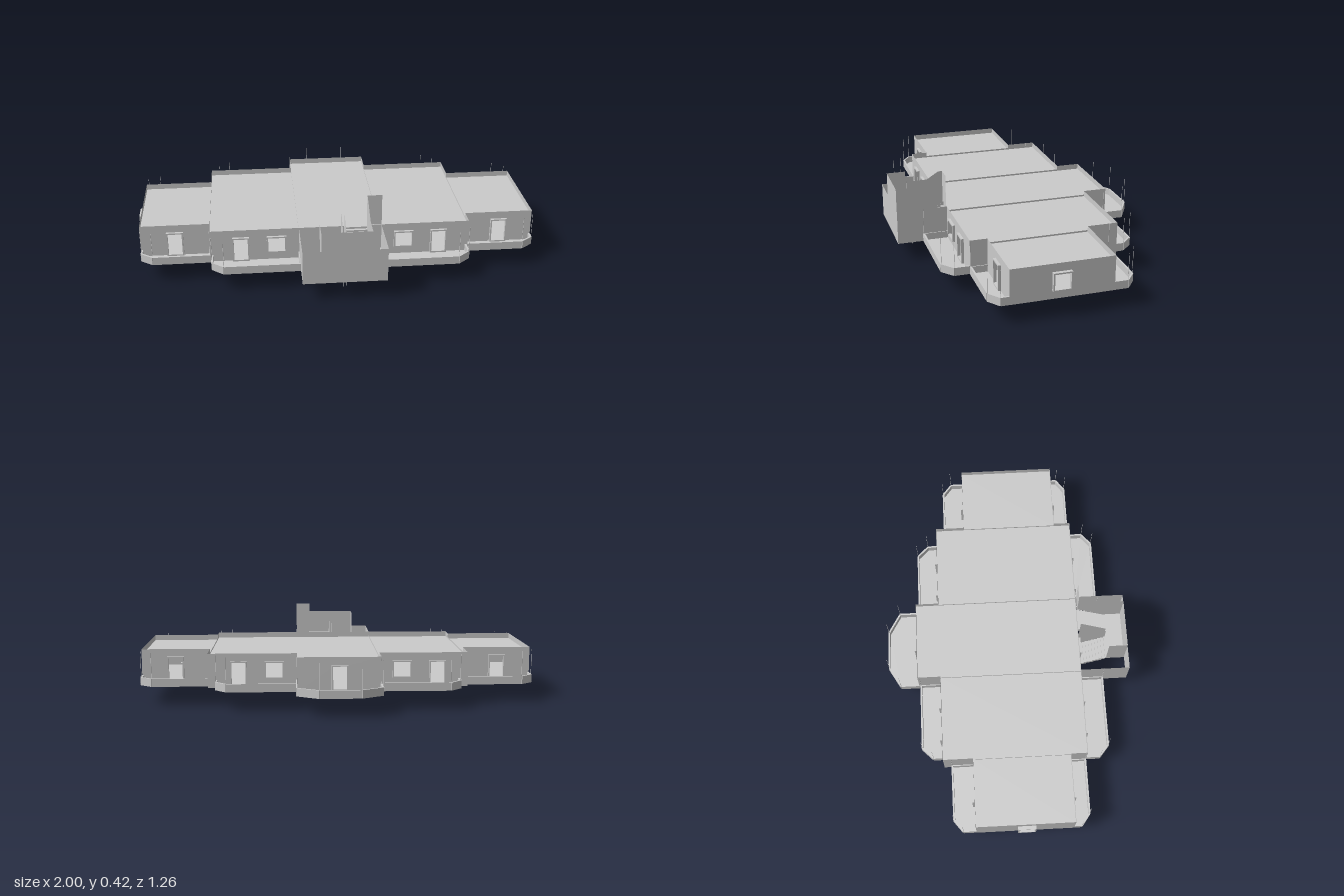
import * as THREE from 'three';

const mat = new THREE.MeshStandardMaterial({ color: 0xcccccc, side: THREE.DoubleSide, flatShading: true });
const FLOOR = 0.09, ROOF = 0.232, TOP = 0.26;

export function createModel() {
  const model = new THREE.Group();

  function add(name, geo, parent = model) {
    const m = new THREE.Mesh(geo, mat);
    m.name = name;
    parent.add(m);
    return m;
  }
  function box(name, x0, x1, y0, y1, z0, z1, parent) {
    const g = new THREE.BoxGeometry(x1 - x0, y1 - y0, z1 - z0);
    g.translate((x0 + x1) / 2, (y0 + y1) / 2, (z0 + z1) / 2);
    return add(name, g, parent);
  }
  const polygon = pts => new THREE.Shape(pts.map(p => new THREE.Vector2(p[0], p[1])));
  const rect = (a, b, c, d) => [[a, c], [b, c], [b, d], [a, d]];

  // Thin upright sheet: along x at z = pos, or along z at x = pos
  function sheet(name, axis, pos, pts, holes = []) {
    const s = polygon(pts);
    holes.forEach(h => s.holes.push(polygon(rect(...h))));
    const g = new THREE.ShapeGeometry(s);
    if (axis === 'z') g.rotateY(-Math.PI / 2).translate(pos, 0, 0);
    else g.translate(0, 0, pos);
    return add(name, g);
  }

  // Raised frame around an opening, standing out from the wall
  function frame(axis, pos, out, [a, b, c, d]) {
    const t = 0.007;
    const s = polygon(rect(a - t, b + t, c, d + t));
    s.holes.push(polygon(rect(a, b, c + t, d)));
    const g = new THREE.ExtrudeGeometry(s, { depth: 0.016, bevelEnabled: false });
    g.translate(0, 0, out > 0 ? -0.003 : -0.013);
    if (axis === 'z') {
      // local depth +z turns to -x, so flip the offset
      g.translate(0, 0, out > 0 ? -0.01 : 0.01);
      g.rotateY(-Math.PI / 2).translate(pos, 0, 0);
    } else g.translate(0, 0, pos);
    add('openingFrame', g);
  }
  function wall(name, axis, pos, out, a, b, openings = [], top = TOP) {
    sheet(name, axis, pos, rect(a, b, FLOOR, top), openings);
    openings.forEach(o => frame(axis, pos, out, o));
  }
  const mirror = (s, a, b) => (s > 0 ? [a, b] : [-b, -a]);

  // Balcony: slab, low parapet and slim corner posts along an outline
  function balcony(pts) {
    const g = new THREE.Group();
    g.name = 'balcony';
    model.add(g);
    const slab = new THREE.ExtrudeGeometry(polygon(pts.map(([x, z]) => [x, -z])), { depth: 0.006, bevelEnabled: false });
    slab.rotateX(-Math.PI / 2).translate(0, FLOOR, 0);
    add('balconyFloor', slab, g);
    for (let i = 0; i < pts.length - 1; i++) {
      const [x0, z0] = pts[i], [x1, z1] = pts[i + 1];
      const p = new THREE.BoxGeometry(Math.hypot(x1 - x0, z1 - z0), 0.04, 0.009);
      p.rotateY(-Math.atan2(z1 - z0, x1 - x0));
      p.translate((x0 + x1) / 2, FLOOR + 0.02, (z0 + z1) / 2);
      add('balconyParapet', p, g);
      if (i > 0) {
        const post = new THREE.CylinderGeometry(0.001, 0.001, TOP - FLOOR, 4);
        post.translate(x0, (TOP + FLOOR) / 2, z0);
        add('balconyPost', post, g);
      }
    }
  }

  function room(name, x0, x1, z0, z1) {
    box(name + 'Floor', x0, x1, FLOOR, FLOOR + 0.005, z0, z1);
    box(name + 'Roof', x0, x1, ROOF - 0.005, ROOF, z0, z1);
  }

  // Central room
  const C = 0.203, M = 0.64, E = 0.982;
  room('centralRoom', -C, C, -0.47, 0.376);
  wall('centralBackWall', 'x', -0.47, -1, -C, C, [[-0.036, 0.03, 0.097, 0.215]]);
  wall('centralFrontWall', 'x', 0.376, 1, -C, C, [[-0.09, -0.02, 0.097, 0.215]]);
  balcony([[-C, -0.47], [-C, -0.565], [-0.1, -0.625], [0.1, -0.625], [C, -0.565], [C, -0.47]]);

  // Middle and end rooms, mirrored on both sides
  for (const s of [1, -1]) {
    const win = [...mirror(s, 0.273, 0.355), 0.136, 0.215];
    const door = [...mirror(s, 0.455, 0.523), 0.097, 0.215];
    const endDoor = [...mirror(s, 0.778, 0.847), 0.097, 0.215];
    const mid = mirror(s, C, M), end = mirror(s, M, E);

    room('middleRoom', ...mid, -0.351, 0.376);
    wall('middleFrontWall', 'x', 0.376, 1, ...mid, [win, door]);
    wall('middleBackWall', 'x', -0.351, -1, ...mid, [win, door]);
    wall('centralSideWall', 'z', s * C, s, -0.47, -0.351);
    wall('partition', 'z', s * C, s, -0.351, 0.376, [], ROOF + 0.008);
    wall('middleSideWall', 'z', s * M, s, -0.351, -0.2);
    wall('middleSideWall', 'z', s * M, s, 0.292, 0.376);
    wall('partition', 'z', s * M, s, -0.2, 0.292, [], ROOF + 0.008);

    room('endRoom', ...end, -0.2, 0.292);
    wall('endFrontWall', 'x', 0.292, 1, ...end, [endDoor]);
    wall('endBackWall', 'x', -0.2, -1, ...end, [endDoor]);
    // Outer wall with a framed window reaching x = 1
    const sideWin = [0.014, 0.09, 0.138, 0.213];
    sheet('outerWall', 'z', s * E, rect(-0.2, 0.292, FLOOR, TOP), [sideWin]);
    const [fx0, fx1] = mirror(s, E - 0.004, 1);
    for (const [y0, y1, z0, z1] of [[0.131, 0.138, 0.007, 0.097], [0.213, 0.22, 0.007, 0.097],
      [0.138, 0.213, 0.007, 0.014], [0.138, 0.213, 0.09, 0.097]]) {
      box('outerWindowFrame', fx0, fx1, y0, y1, z0, z1);
    }

    balcony([[s * C, 0.376], [s * C, 0.496], [s * 0.573, 0.496], [s * 0.63, 0.448], [s * 0.63, 0.376]]);
    balcony([[s * C, -0.351], [s * C, -0.46], [s * 0.543, -0.46], [s * 0.597, -0.405], [s * 0.597, -0.351]]);
    balcony([[s * M, 0.292], [s * M, 0.372], [s * 0.92, 0.372], [s * 0.977, 0.33], [s * 0.977, 0.292]]);
    balcony([[s * M, -0.2], [s * M, -0.31], [s * 0.92, -0.31], [s * 0.977, -0.265], [s * 0.977, -0.2]]);

    // Side of the stairwell enclosure
    wall('stairwellSideWall', 'z', s * C, s, 0.376, 0.627);
  }

  // Stairwell: outer front wall and raised upper enclosure
  wall('stairwellFrontWall', 'x', 0.627, 1, -C, C);
  const L = -0.113, R = 0.13, LAND = 0.175;
  sheet('upperFrontWall', 'x', 0.615, rect(L, R, LAND, 0.35));
  sheet('upperLeftWall', 'z', L, [[0.52, LAND], [0.615, LAND], [0.615, 0.35], [0.52, 0.35]]);
  sheet('upperRightWall', 'z', R, [[0.615, LAND], [0.615, 0.35], [0.515, 0.35], [0.4, 0.422],
    [0.38, 0.422], [0.38, TOP], [0.52, LAND]]);
  sheet('upperReturnWall', 'x', 0.38, rect(R, C, 0.265, 0.422));
  box('stairLanding', L, R, LAND - 0.012, LAND, 0.515, 0.615);

  // Two flights, one down to the floor and one up to the roof
  const n = 9, run = 0.139 / n, rise = 0.085 / n;
  for (let i = 0; i < n; i++) {
    const z = 0.515 - i * run;
    const down = LAND - (i + 1) * rise, up = LAND + (i + 1) * rise;
    box('lowerStep', L, 0.003, down - 0.019, down, z - run, z);
    box('upperStep', 0.018, R, up - 0.019, up, z - run, z);
  }
  // Thin slanted walls between the flights
  for (const x of [0.003, 0.018]) {
    sheet('stairSpine', 'z', x, [[0.522, 0], [0.522, 0.255], [0.385, 0.345], [0.385, 0.09]]);
  }
  return model;
}
